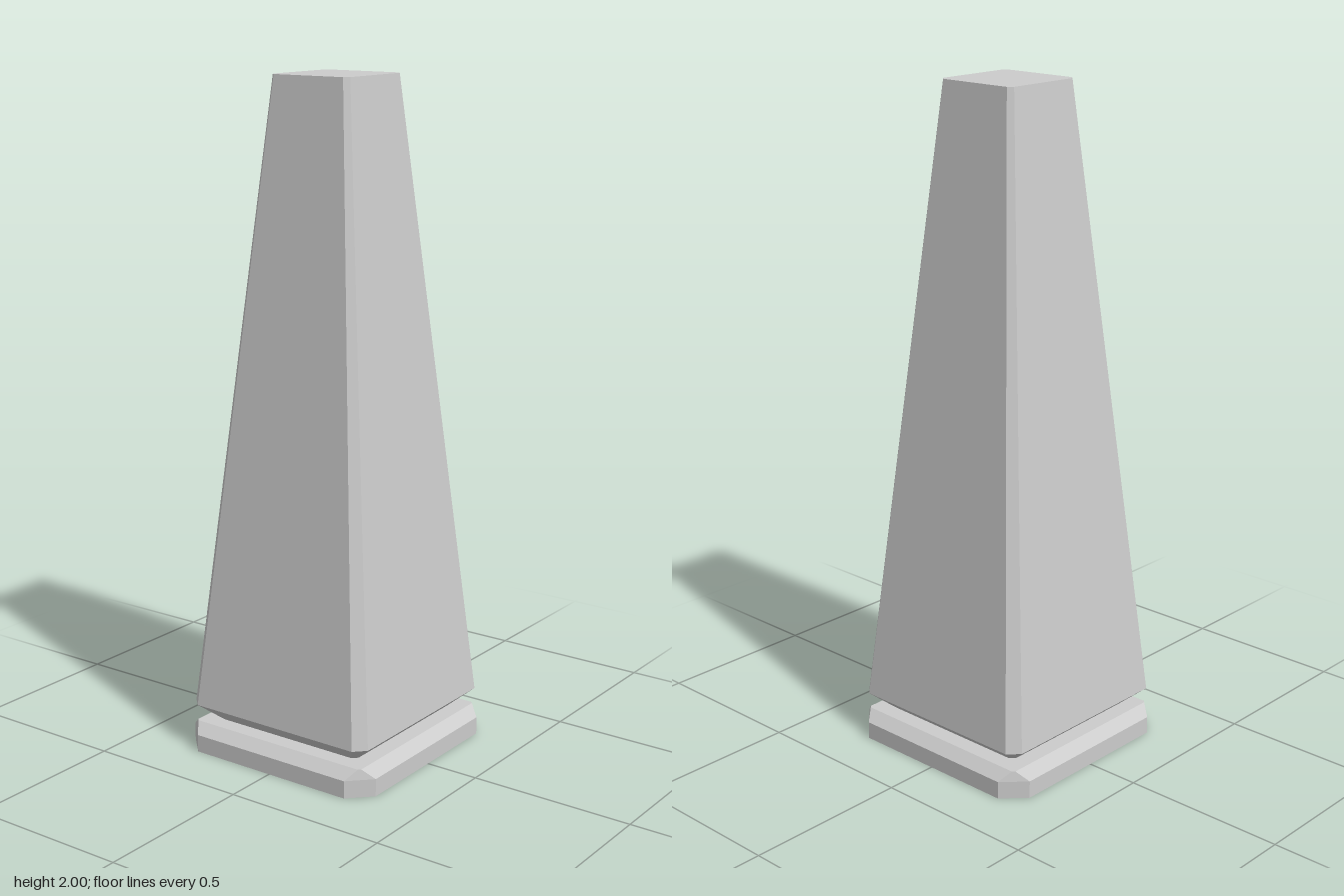
import * as THREE from 'three';

// Square outline with cut corners: h = half width, c = half length of the straight side
function ring([y, h, c]) {
  return [[c, h], [h, c], [h, -c], [c, -h], [-c, -h], [-h, -c], [-h, c], [-c, h]]
    .map(([x, z]) => [x, y, z]);
}

// Flat-faced solid through rings listed from bottom to top, closed at both ends
function loft(name, sections) {
  const rings = sections.map(ring);
  const pos = [];
  const tri = (a, b, c) => pos.push(...a, ...b, ...c);
  for (let k = 0; k < rings.length - 1; k++) {
    const lo = rings[k], hi = rings[k + 1];
    for (let i = 0; i < 8; i++) {
      const j = (i + 1) % 8;
      tri(lo[i], lo[j], hi[j]);
      tri(lo[i], hi[j], hi[i]);
    }
  }
  const bottom = rings[0], top = rings[rings.length - 1];
  for (let i = 1; i < 7; i++) {
    tri(bottom[0], bottom[i + 1], bottom[i]);
    tri(top[0], top[i], top[i + 1]);
  }
  const geometry = new THREE.BufferGeometry();
  geometry.setAttribute('position', new THREE.Float32BufferAttribute(pos, 3));
  geometry.computeVertexNormals();
  const mesh = new THREE.Mesh(geometry,
    new THREE.MeshStandardMaterial({ color: 0xcccccc, flatShading: true }));
  mesh.name = name;
  return mesh;
}

export function createModel() {
  const group = new THREE.Group();
  group.name = 'obelisk';
  // Low base slab with a bevelled upper edge
  group.add(loft('plinth', [[0, 0.335, 0.27], [0.053, 0.335, 0.27], [0.083, 0.302, 0.295]]));
  // Tapering shaft, undercut where it meets the slab
  group.add(loft('shaft', [[0.083, 0.25, 0.235], [0.14, 0.317, 0.284], [2, 0.133, 0.119]]));
  return group;
}
